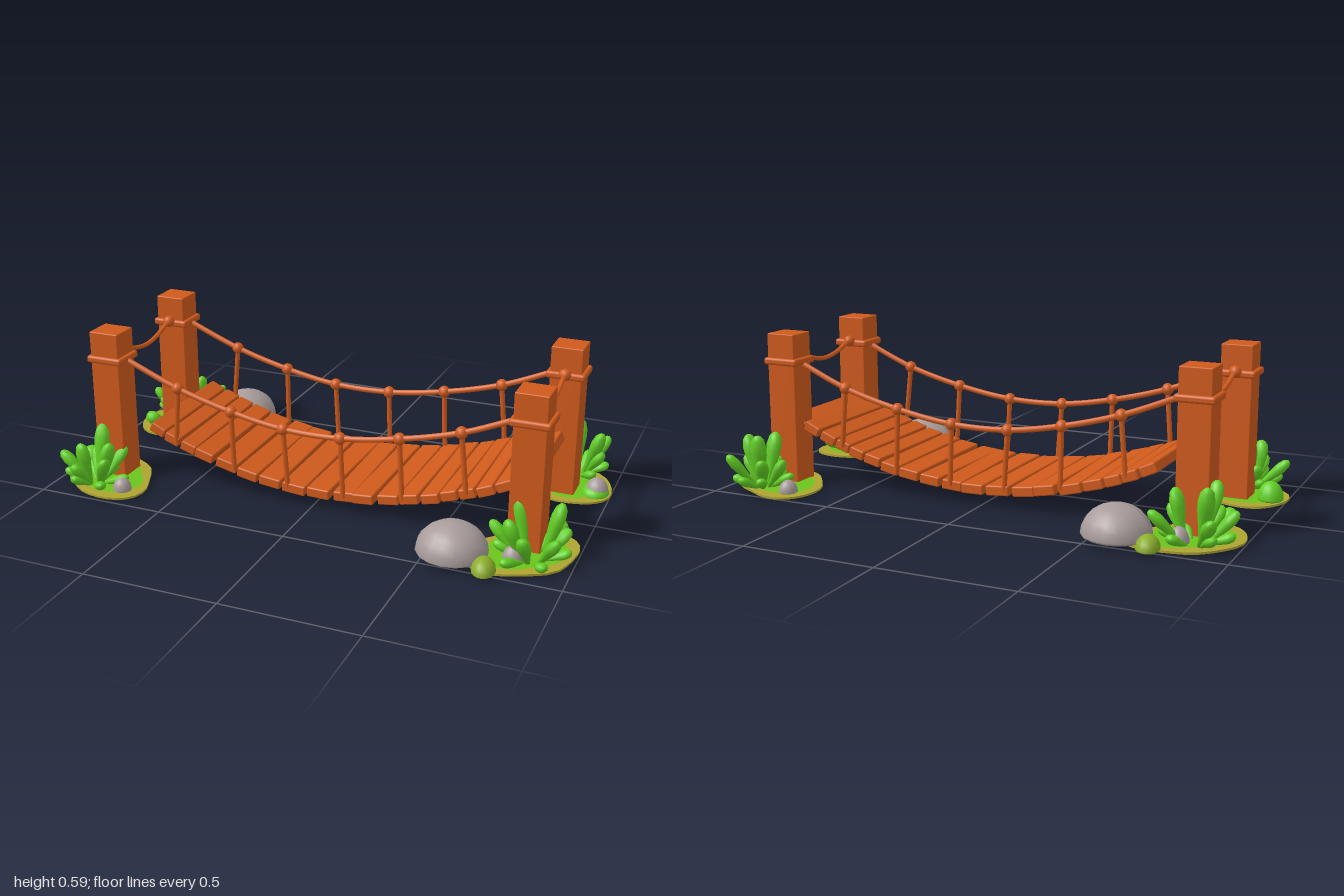
import * as THREE from 'three';
import { RoundedBoxGeometry } from 'three/addons/geometries/RoundedBoxGeometry.js';

const mat = (name, color) => Object.assign(new THREE.MeshStandardMaterial({ color }), { name });
const V = (x, y, z) => new THREE.Vector3(x, y, z);

export function createModel() {
  const model = new THREE.Group();
  model.name = 'ropeBridge';
  const wood = mat('wood', 0xcf5a1c);
  const leafGreen = mat('leafGreen', 0x62cf24);
  const turf = mat('turf', 0x6cc41c);
  const olive = mat('dryGrass', 0xaea432);
  const bushOlive = mat('oliveBush', 0x8cae2c);
  const stone = mat('stone', 0xa89c9b);

  let seed = 7;
  const rand = (a, b) => {
    seed = (seed * 16807) % 2147483647;
    return a + (b - a) * seed / 2147483647;
  };
  const add = (name, geo, material, x = 0, y = 0, z = 0, parent = model) => {
    const m = new THREE.Mesh(geo, material);
    m.name = name;
    m.position.set(x, y, z);
    parent.add(m);
    return m;
  };

  // Ropes and knots
  const rope = (name, pts, r, seg = 32) =>
    add(name, new THREE.TubeGeometry(new THREE.CatmullRomCurve3(pts), seg, r, 8), wood);
  const knotGeo = new THREE.SphereGeometry(0.023, 12, 8);
  const knot = (x, y, z) => add('knot', knotGeo, wood, x, y, z);

  // Corner posts with a rope binding
  const PX = 0.815, PZ = 0.25;
  for (const x of [-PX, PX]) for (const z of [-PZ, PZ]) {
    add('post', new RoundedBoxGeometry(0.118, 0.587, 0.112, 1, 0.004), wood, x, 0.2935, z);
    add('postBinding', new RoundedBoxGeometry(0.146, 0.028, 0.132, 2, 0.01), wood, x, 0.48, z);
  }

  // Sagging deck of planks
  const deckY = x => Math.min(0.06 + 0.32 * (x - 0.03) ** 2, 0.235);
  const plankX = [-0.64, -0.575, -0.51, -0.44, -0.35, -0.257, -0.17, -0.07, 0.03, 0.123,
    0.206, 0.3, 0.38, 0.457, 0.527, 0.59, 0.655, 0.725, 0.79];
  plankX.forEach((x, i) => {
    const prev = plankX[i - 1] ?? x - 0.066, next = plankX[i + 1] ?? x + 0.08;
    const slope = Math.atan(0.64 * (x - 0.03));
    const w = (next - prev) / 2 / Math.cos(slope) - 0.008;
    const p = add('plank', new RoundedBoxGeometry(w, 0.038, rand(0.49, 0.51), 1, 0.006), wood,
      x, deckY(x), 0);
    p.rotation.set(rand(-0.008, 0.008), rand(-0.02, 0.02), slope + rand(-0.05, 0.05));
  });

  // Side handrails with hangers
  const knots = [[-0.54, 0.39], [-0.32, 0.33], [-0.11, 0.295], [0.115, 0.295], [0.34, 0.33], [0.565, 0.39]];
  const feet = [-0.558, -0.315, -0.095, 0.125, 0.352, 0.588];
  for (const z of [-PZ, PZ]) {
    rope('handrailRope', [V(-0.79, 0.49, z), ...knots.map(([x, y]) => V(x, y, z)), V(0.79, 0.485, z)], 0.011, 60);
    knots.forEach(([x, y], i) => {
      knot(x, y, z);
      rope('hangerRope', [V(x, y, z), V(feet[i], deckY(feet[i]), z * 0.985)], 0.01, 3);
    });
  }

  // Cross ropes at both ends
  for (const x of [-PX, PX]) {
    rope('crossRope', [V(x, 0.485, -0.22), V(x, 0.49, -0.18), V(x, 0.46, -0.08), V(x, 0.449, 0),
      V(x, 0.46, 0.08), V(x, 0.49, 0.18), V(x, 0.485, 0.22)], 0.009);
    knot(x, 0.49, -0.18);
    knot(x, 0.49, 0.18);
  }

  // Ground patches: dry rim with a green centre and green underside
  const wobble = (geo, phase) => {
    const p = geo.attributes.position;
    for (let i = 0; i < p.count; i++) {
      const a = Math.atan2(p.getZ(i), p.getX(i));
      const k = 1 + 0.04 * Math.sin(3 * a + phase) + 0.025 * Math.sin(5 * a + 2 * phase);
      p.setX(i, p.getX(i) * k);
      p.setZ(i, p.getZ(i) * k);
    }
    return geo;
  };
  const patch = (x, z, turn, phase) => {
    const g = new THREE.Group();
    g.name = 'grassPatch';
    g.position.set(x, 0, z);
    g.rotation.y = turn;
    const rim = new THREE.CylinderGeometry(1, 1, 0.008, 28).scale(0.215, 1, 0.153);
    add('patchRim', wobble(rim, phase), [olive, olive, turf], 0, 0.008, 0, g);
    const top = new THREE.CircleGeometry(1, 28).rotateX(-Math.PI / 2).scale(0.172, 1, 0.12);
    add('patchTurf', wobble(top, phase + 1), turf, 0, 0.0145, 0, g);
    model.add(g);
  };

  // Plump leaves fanning out from a base
  const leafGeo = new THREE.LatheGeometry([[0, 0], [0.35, 0.04], [0.6, 0.3], [0.95, 0.62], [1, 0.76],
    [0.8, 0.91], [0.4, 0.98], [0, 1]].map(p => new THREE.Vector2(...p)), 10);
  const leaf = (parent, x, y, z, len, r, turn, tilt) => {
    const m = add('leaf', leafGeo, leafGreen, x, y, z, parent);
    m.scale.set(r * 0.8, len, r);
    m.rotation.set(0, turn, -tilt, 'YXZ');
  };
  const rings = [[3, 0.21, 0.24, 0.031], [5, 0.165, 0.7, 0.026], [6, 0.115, 1.15, 0.022]];
  const leaves = (x, z, spread) => {
    const g = new THREE.Group();
    g.name = 'leafCluster';
    g.position.set(x, 0.012, z);
    rings.forEach(([n, len, tilt, r], k) => {
      for (let i = 0; i < n; i++) {
        const a = (i + k * 0.4 + rand(-0.2, 0.2)) / n * Math.PI * 2;
        leaf(g, Math.cos(a) * spread, 0, Math.sin(a) * spread,
          len * rand(0.8, 1.04), r, -a, tilt + rand(-0.12, 0.12));
      }
    });
    model.add(g);
  };

  // Domes with a flattened underside, for rocks and bushes
  const dome = (name, material, x, z, rx, h, rz, turn = 0) => {
    const geo = new THREE.SphereGeometry(1, 16, 12);
    const p = geo.attributes.position;
    for (let i = 0; i < p.count; i++) {
      const y = p.getY(i);
      p.setY(i, y < 0 ? 0.2 + y * 0.2 : 0.2 + y * 0.8);
    }
    geo.scale(rx, h, rz);
    geo.computeVertexNormals();
    add(name, geo, material, x, 0.004, z).rotation.y = turn;
  };

  const q = Math.PI / 4;
  patch(-0.815, -0.315, q, 0.5);
  patch(0.815, 0.31, q, 3.6);
  patch(-0.82, 0.305, -q, 1.4);
  patch(0.815, -0.32, -q, 4.5);
  leaves(-0.85, -0.37, 0.04);
  leaves(0.855, 0.345, 0.04);
  leaves(-0.835, 0.385, 0.025);
  leaves(0.845, -0.405, 0.025);

  // Broad low leaves beside two of the posts
  leaf(model, 0.87, 0.02, 0.215, 0.1, 0.034, 0.9, 1.0);
  leaf(model, -0.87, 0.02, -0.215, 0.1, 0.034, 0.9 + Math.PI, 1.0);

  // Rocks
  dome('largeRock', stone, 0.597, 0.42, 0.127, 0.13, 0.122);
  dome('largeRock', stone, -0.597, -0.43, 0.122, 0.13, 0.122);
  dome('smallRock', stone, 0.8, 0.385, 0.036, 0.065, 0.036);
  dome('smallRock', stone, -0.8, -0.39, 0.036, 0.065, 0.036);
  dome('smallRock', stone, -0.71, 0.405, 0.036, 0.055, 0.034);
  dome('smallRock', stone, 0.715, -0.43, 0.036, 0.055, 0.036);
  dome('smallRock', stone, 0.95, -0.252, 0.043, 0.07, 0.046);

  // Bushes
  dome('bush', bushOlive, 0.73, 0.49, 0.042, 0.058, 0.058, 0.2);
  dome('bush', bushOlive, -0.73, -0.495, 0.042, 0.058, 0.058, 0.2);
  dome('bush', leafGreen, -0.95, 0.235, 0.048, 0.08, 0.05);
  dome('bush', leafGreen, 0.945, -0.25, 0.052, 0.045, 0.056);

  return model;
}
